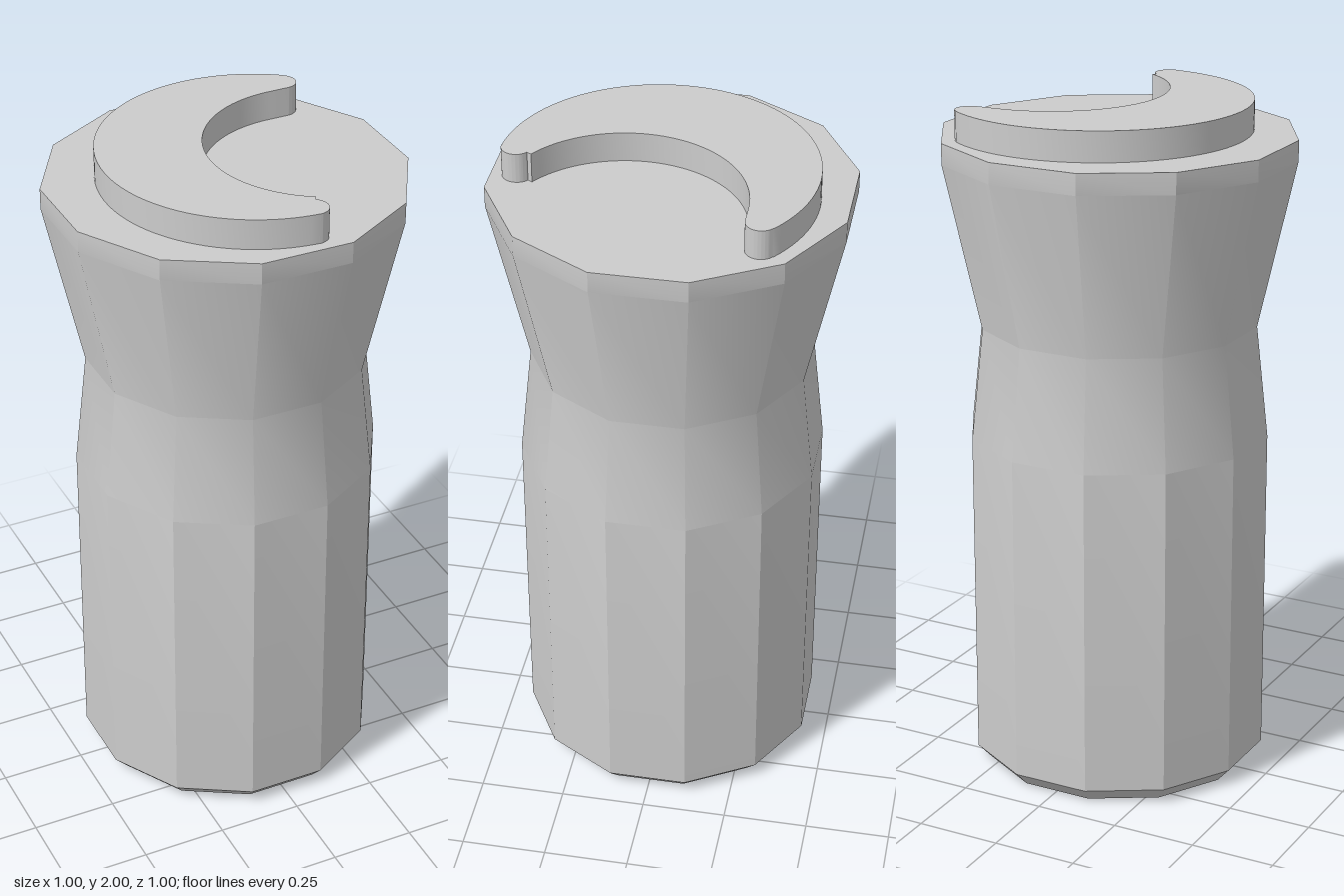
import * as THREE from 'three';
import { toCreasedNormals } from 'three/addons/utils/BufferGeometryUtils.js';

const rad = THREE.MathUtils.degToRad;

export function createModel() {
  const model = new THREE.Group();
  model.name = 'post';
  const grey = new THREE.MeshStandardMaterial({ color: 0xcccccc });
  grey.name = 'light grey';

  // Twelve-sided body with chamfered base, pinched neck and flared head.
  // Each entry is [distance from the axis to a flat side, height].
  const profile = [
    [0, 0], [0.39, 0], [0.43, 0.045], [0.43, 1.03],
    [0.395, 1.36], [0.5, 1.85], [0.5, 1.912], [0, 1.912],
  ].map(([apothem, y]) => new THREE.Vector2(apothem / Math.cos(Math.PI / 12), y));
  const bodyGeometry = toCreasedNormals(
    new THREE.LatheGeometry(profile, 12, Math.PI / 12), 0.522);
  const body = new THREE.Mesh(bodyGeometry, grey);
  body.name = 'body';
  model.add(body);

  // Raised crescent with rounded tips on the top face
  const crescentShape = new THREE.Shape();
  crescentShape.absarc(0.075, -0.025, 0.443, rad(53.6), rad(267), false); // outer edge
  crescentShape.absarc(0.052, -0.425, 0.043, rad(267), rad(415), false); // front tip
  crescentShape.absarc(0.258, -0.088, 0.337, rad(239), rad(90), true); // inner edge
  crescentShape.absarc(0.315, 0.293, 0.043, rad(-90), rad(53.6), false); // back tip
  const crescentGeometry = new THREE.ExtrudeGeometry(crescentShape, {
    depth: 0.088, bevelEnabled: false, curveSegments: 32,
  });
  crescentGeometry.rotateX(-Math.PI / 2);
  const crescent = new THREE.Mesh(toCreasedNormals(crescentGeometry, 0.6), grey);
  crescent.name = 'raisedCrescent';
  crescent.position.y = 1.912;
  model.add(crescent);

  return model;
}
